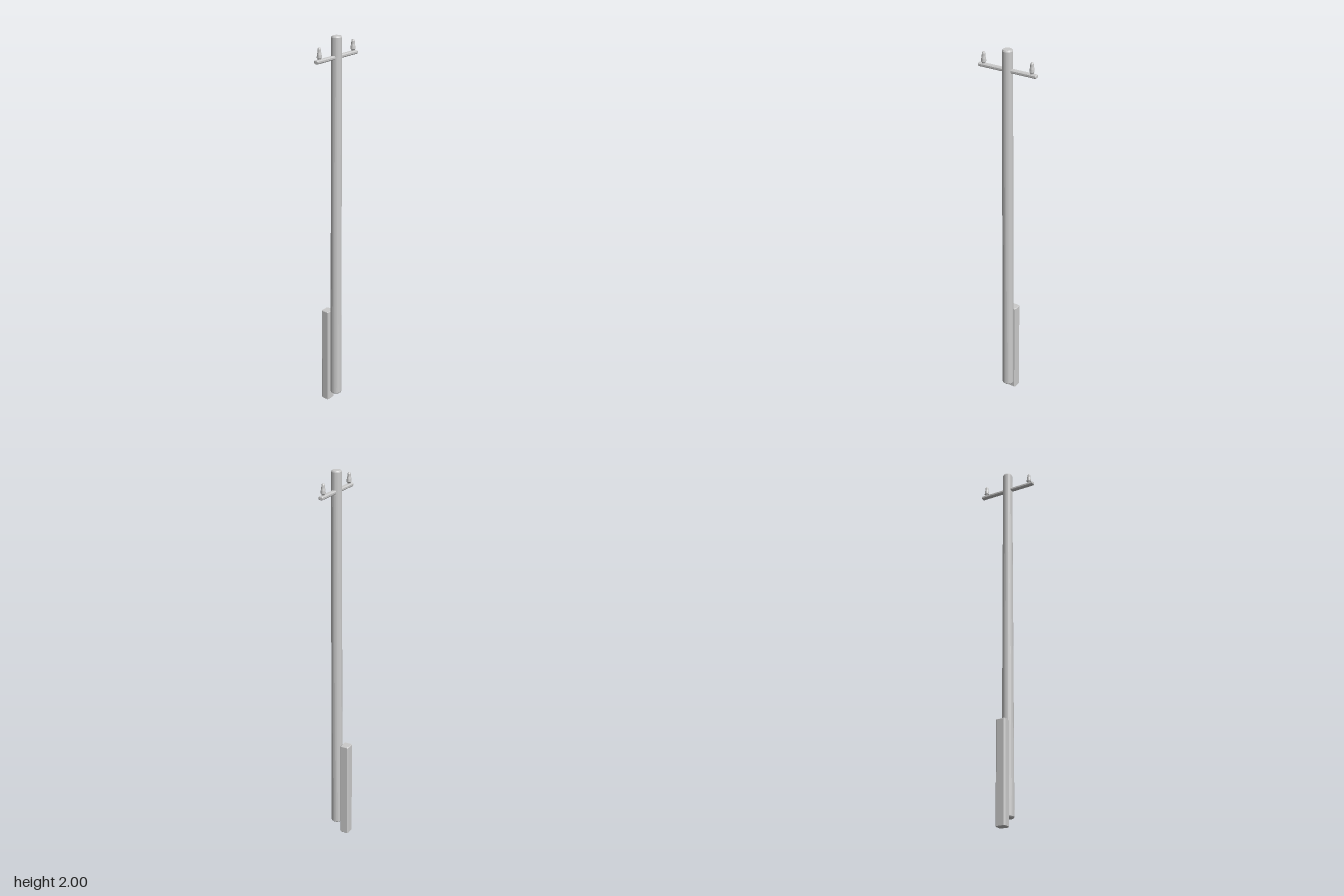
import * as THREE from 'three';

const POLE_Z = 0.023;

function mesh(name, geometry) {
  const m = new THREE.Mesh(
    geometry,
    new THREE.MeshStandardMaterial({ color: 0xcccccc, flatShading: true })
  );
  m.name = name;
  return m;
}

function lathe(points, sides) {
  return new THREE.LatheGeometry(points.map(([r, y]) => new THREE.Vector2(r, y)), sides);
}

// Rectangle outline with cut corners
function cutRectangle(w, h, c) {
  const x = w / 2, y = h / 2;
  return new THREE.Shape([
    [x - c, -y], [x, -y + c], [x, y - c], [x - c, y],
    [-x + c, y], [-x, y - c], [-x, -y + c], [-x + c, -y],
  ].map(([a, b]) => new THREE.Vector2(a, b)));
}

// Extruded along z, with total length including the end bevels, centred
function beam(w, h, cut, length, bevel) {
  const g = new THREE.ExtrudeGeometry(cutRectangle(w - 2 * bevel, h - 2 * bevel, cut), {
    depth: length - 2 * bevel,
    bevelThickness: bevel, bevelSize: bevel, bevelSegments: 1,
  });
  return g.translate(0, 0, bevel - length / 2);
}

export function createModel() {
  const group = new THREE.Group();

  // Tapering pole with softened ends
  const pole = mesh('pole', lathe([
    [0, 0.055], [0.026, 0.055], [0.0305, 0.061],
    [0.026, 1.993], [0.022, 2], [0, 2],
  ], 24));
  pole.position.z = POLE_Z;
  group.add(pole);

  // Square stub post standing behind the pole
  const post = mesh('supportPost', beam(0.052, 0.047, 0.004, 0.535, 0.003));
  post.rotation.x = -Math.PI / 2;
  post.position.set(0, 0.2675, -0.0335);
  group.add(post);

  // Crossarm
  const arm = mesh('crossarm', beam(0.024, 0.018, 0.003, 0.32, 0.003));
  arm.rotation.y = Math.PI / 2;
  arm.position.set(0, 1.898, POLE_Z);
  group.add(arm);

  // Insulator on each end of the crossarm
  for (const side of [-1, 1]) {
    const insulator = mesh(side > 0 ? 'leftInsulator' : 'rightInsulator', lathe([
      [0, 0], [0.008, 0], [0.0085, 0.006], [0.0125, 0.01], [0.0115, 0.024],
      [0.009, 0.036], [0.0085, 0.05], [0.005, 0.057], [0, 0.057],
    ], 12));
    insulator.position.set(side * 0.133, 1.906, POLE_Z);
    group.add(insulator);
  }

  return group;
}
